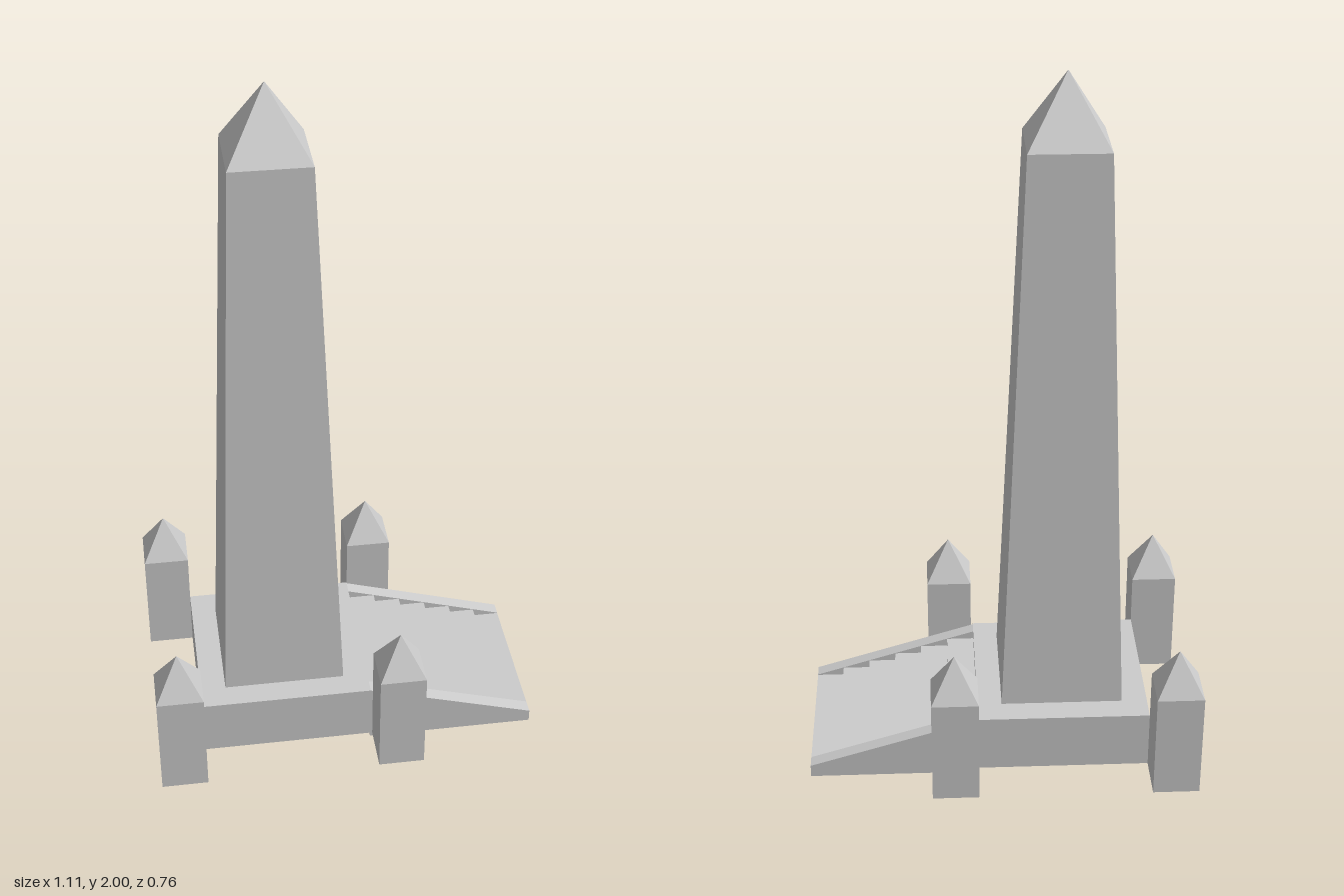
import * as THREE from 'three';

const material = new THREE.MeshStandardMaterial({ color: 0xcccccc, flatShading: true });

function add(parent, name, geometry, x = 0, y = 0, z = 0) {
  const mesh = new THREE.Mesh(geometry, material);
  mesh.name = name;
  mesh.position.set(x, y, z);
  parent.add(mesh);
  return mesh;
}

// Square tapered block standing on y = 0, given by its half widths
function taper(bottom, top, height) {
  const r = Math.SQRT2;
  const g = new THREE.CylinderGeometry(top * r, bottom * r, height, 4, 1, false, Math.PI / 4);
  return g.translate(0, height / 2, 0);
}

// Square pyramid standing on y = 0
function pyramid(half, height) {
  const g = new THREE.ConeGeometry(half * Math.SQRT2, height, 4, 1, false, Math.PI / 4);
  return g.translate(0, height / 2, 0);
}

// Side profile in x-y, extruded along z
function slab(points, depth) {
  const shape = new THREE.Shape(points.map(([x, y]) => new THREE.Vector2(x, y)));
  return new THREE.ExtrudeGeometry(shape, { depth, bevelEnabled: false });
}

export function createModel() {
  const model = new THREE.Group();
  model.name = 'obeliskMonument';

  // Plinth
  add(model, 'plinth', new THREE.BoxGeometry(0.492, 0.17, 0.494), -0.176, 0.1, -0.002);

  // Obelisk shaft and its pointed cap
  const obelisk = new THREE.Group();
  obelisk.name = 'obelisk';
  obelisk.position.set(-0.175, 0.185, -0.001);
  add(obelisk, 'shaft', taper(0.174, 0.109, 1.63));
  add(obelisk, 'cap', pyramid(0.109, 0.185), 0, 1.63, 0);
  model.add(obelisk);

  // Four corner posts with pointed caps
  const posts = [[-0.488, -0.315], [0.137, -0.315], [-0.488, 0.311], [0.142, 0.311]];
  for (const [x, z] of posts) {
    const post = new THREE.Group();
    post.name = 'cornerPost';
    post.position.set(x, 0.015, z);
    add(post, 'postShaft', taper(0.066, 0.066, 0.315));
    add(post, 'postCap', pyramid(0.066, 0.12), 0, 0.315, 0);
    model.add(post);
  }

  // Staircase: six treads as one solid stepped profile
  const stairs = new THREE.Group();
  stairs.name = 'staircase';
  const x0 = 0.07, x1 = 0.553, count = 6, run = (x1 - x0) / count, rise = 0.0245;
  const profile = [[x0, 0.003], [x1, 0.003]];
  for (let i = 0; i < count; i++) {
    const y = 0.0355 + i * rise;
    profile.push([x1 - i * run, y], [x1 - (i + 1) * run, y]);
  }
  add(stairs, 'steps', slab(profile, 0.41), 0, 0, -0.207);

  // Sloping side walls of the staircase
  const wall = [[x0, 0], [x1, 0], [x1, 0.037], [x0, 0.183]];
  for (const z of [-0.247, 0.203]) add(stairs, 'stairWall', slab(wall, 0.04), 0, 0, z);
  model.add(stairs);

  return model;
}
